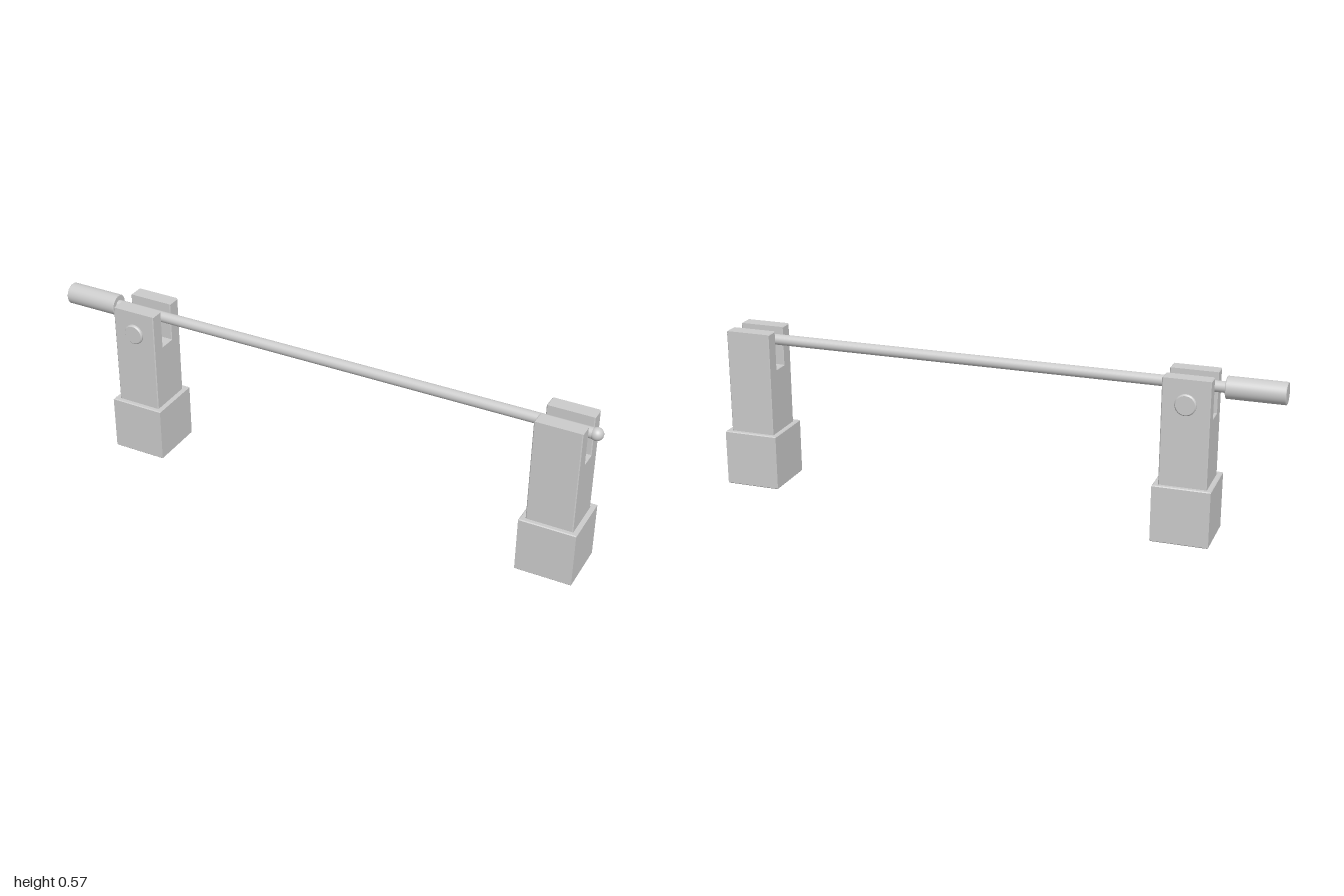
import * as THREE from 'three';

const material = new THREE.MeshStandardMaterial({ color: 0xcccccc });
const BEVEL = 0.003;
const POST_X = [-0.688, 0.878];
const ROD_Y = 0.532;

function addMesh(parent, name, geometry) {
  const mesh = new THREE.Mesh(geometry, material);
  mesh.name = name;
  parent.add(mesh);
  return mesh;
}

const polygon = (pairs) => pairs.map(([x, y]) => new THREE.Vector2(x, y));
const square = (h) => polygon([[-h, -h], [h, -h], [h, h], [-h, h]]);

// Extrude with a small chamfer that stays inside the outline, centred on z = 0
function chamferedExtrude(shape, length) {
  const geometry = new THREE.ExtrudeGeometry(shape, {
    depth: length - 2 * BEVEL, bevelEnabled: true, bevelThickness: BEVEL,
    bevelSize: BEVEL, bevelOffset: -BEVEL, bevelSegments: 1,
  });
  return geometry.translate(0, 0, -length / 2 + BEVEL);
}

// Hollow square foot, open underneath
function footGeometry() {
  const shape = new THREE.Shape(square(0.099));
  shape.holes.push(new THREE.Path(square(0.08)));
  return chamferedExtrude(shape, 0.2).rotateX(-Math.PI / 2).translate(0, 0.1, 0);
}

// Upright with a slot cut down from its top; its lower end plugs the foot
function postGeometry() {
  const w = 0.081, s = 0.0285, bottom = 0.1, slot = 0.43, top = 0.57;
  const shape = new THREE.Shape(polygon([
    [-w, bottom], [w, bottom], [w, top], [s, top],
    [s, slot], [-s, slot], [-s, top], [-w, top],
  ]));
  return chamferedExtrude(shape, 0.162).rotateY(Math.PI / 2);
}

// Solid round bar from a to b along its axis with chamfered ends
function roundBar(radius, a, b, chamfer) {
  const profile = [[0, a], [radius - chamfer, a], [radius, a + chamfer],
    [radius, b - chamfer], [radius - chamfer, b], [0, b]];
  // Each section gets its own rings so the ends stay crisp
  const group = new THREE.Group();
  for (let i = 0; i < profile.length - 1; i++) {
    addMesh(group, 'barSection', new THREE.LatheGeometry(polygon([profile[i], profile[i + 1]]), 40));
  }
  return group;
}

export function createModel() {
  const model = new THREE.Group();
  model.name = 'rodOnPosts';

  // Two matching supports
  POST_X.forEach((x, i) => {
    const support = new THREE.Group();
    support.name = i === 0 ? 'rightSupport' : 'leftSupport';
    support.position.x = x;
    addMesh(support, 'foot', footGeometry());
    addMesh(support, 'post', postGeometry());
    model.add(support);
  });

  // Hinge pin across the slot of the right post
  const pin = roundBar(0.0365, -0.091, 0.091, 0.004);
  pin.name = 'hingePin';
  pin.rotation.x = Math.PI / 2;
  pin.position.set(POST_X[0], 0.485, 0);
  model.add(pin);

  // Long rod with a ball tip, lying in both slots
  const rod = new THREE.CylinderGeometry(0.019, 0.019, 1.79, 32).rotateZ(Math.PI / 2);
  addMesh(model, 'rod', rod).position.set(0.085, ROD_Y, 0);
  addMesh(model, 'ballTip', new THREE.SphereGeometry(0.0225, 32, 20)).position.set(0.9775, ROD_Y, 0);

  // Handle grip at the hinged end
  const grip = roundBar(0.0375, -1, -0.803, 0.002);
  grip.name = 'handleGrip';
  grip.rotation.z = -Math.PI / 2;
  grip.position.y = ROD_Y;
  model.add(grip);

  return model;
}
